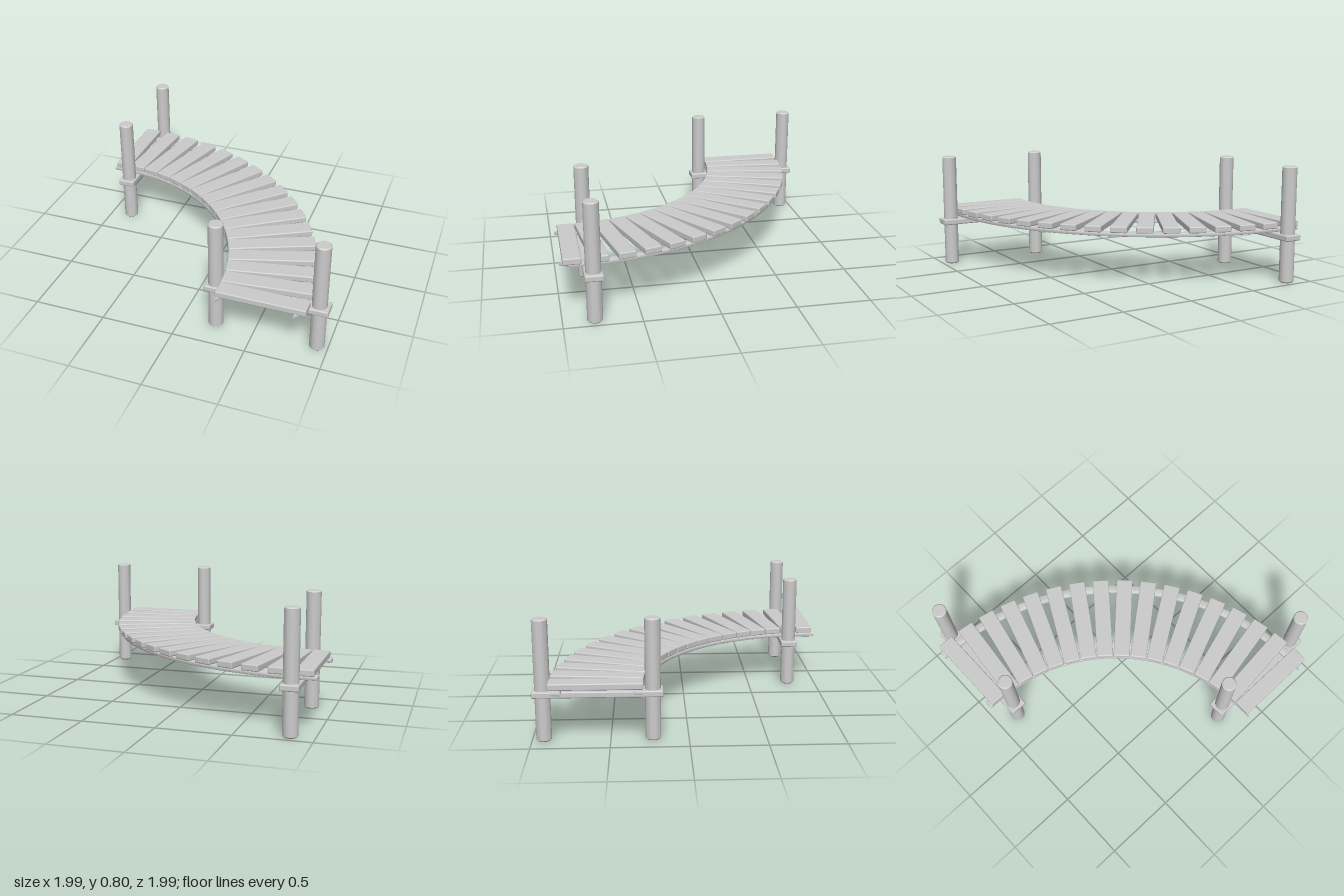
import * as THREE from 'three';
import { toCreasedNormals } from 'three/addons/utils/BufferGeometryUtils.js';
import { RoundedBoxGeometry } from 'three/addons/geometries/RoundedBoxGeometry.js';

const CX = -0.918, CZ = 0.921;   // centre of the walkway's quarter circle
const MID = 1.506;               // radius of its centre line
const PLANKS = 17;

export function createModel() {
  const model = new THREE.Group();
  const material = new THREE.MeshStandardMaterial({ color: 0xcccccc });

  function add(name, geometry, x = 0, y = 0, z = 0, turn = 0) {
    const mesh = new THREE.Mesh(geometry, material);
    mesh.name = name;
    mesh.position.set(x, y, z);
    mesh.rotation.y = turn;
    model.add(mesh);
    return mesh;
  }

  // Deck planks fanned around the bend
  const plank = new RoundedBoxGeometry(0.594, 0.044, 0.116, 2, 0.008);
  for (let i = 0; i < PLANKS; i++) {
    const a = (i / (PLANKS - 1)) * Math.PI / 2;
    add('deckPlank', plank, CX + MID * Math.cos(a), 0.391, CZ - MID * Math.sin(a), a);
  }

  // Curved rails under the planks, with short straight ends
  function railGeometry(radius) {
    const bevel = 0.007, half = 0.029 - bevel, end = 0.075 - bevel;
    const shape = new THREE.Shape();
    shape.moveTo(radius + half, -end);
    shape.absarc(0, 0, radius + half, 0, Math.PI / 2, false);
    shape.lineTo(-end, radius + half);
    shape.lineTo(-end, radius - half);
    shape.absarc(0, 0, radius - half, Math.PI / 2, 0, true);
    shape.lineTo(radius - half, -end);
    shape.closePath();
    const geometry = new THREE.ExtrudeGeometry(shape, {
      depth: 0.028 - 2 * bevel, curveSegments: 40,
      bevelEnabled: true, bevelSize: bevel, bevelThickness: bevel, bevelSegments: 2,
    });
    geometry.translate(0, 0, bevel);
    geometry.rotateX(-Math.PI / 2);
    return toCreasedNormals(geometry, 0.5);
  }
  add('innerRail', railGeometry(1.24), CX, 0.34, CZ);
  add('outerRail', railGeometry(1.75), CX, 0.34, CZ);

  // Round posts with chamfered ends
  const profile = [[0, 0], [0.042, 0], [0.05, 0.008], [0.05, 0.792], [0.042, 0.8], [0, 0.8]]
    .map(([r, y]) => new THREE.Vector2(r, y));
  const post = toCreasedNormals(new THREE.LatheGeometry(profile, 28), 0.5);

  // One cross beam carrying a pair of posts at each end of the walkway
  const beam = new RoundedBoxGeometry(0.828, 0.042, 0.12, 2, 0.009);
  add('backCrossBeam', beam, -0.846, 0.316, -0.577, Math.PI / 2);
  add('frontCrossBeam', beam, 0.583, 0.316, 0.796);
  for (const z of [-0.925, -0.229]) add('backPost', post, -0.846, 0, z);
  for (const x of [0.235, 0.927]) add('frontPost', post, x, 0, 0.796);

  return model;
}
